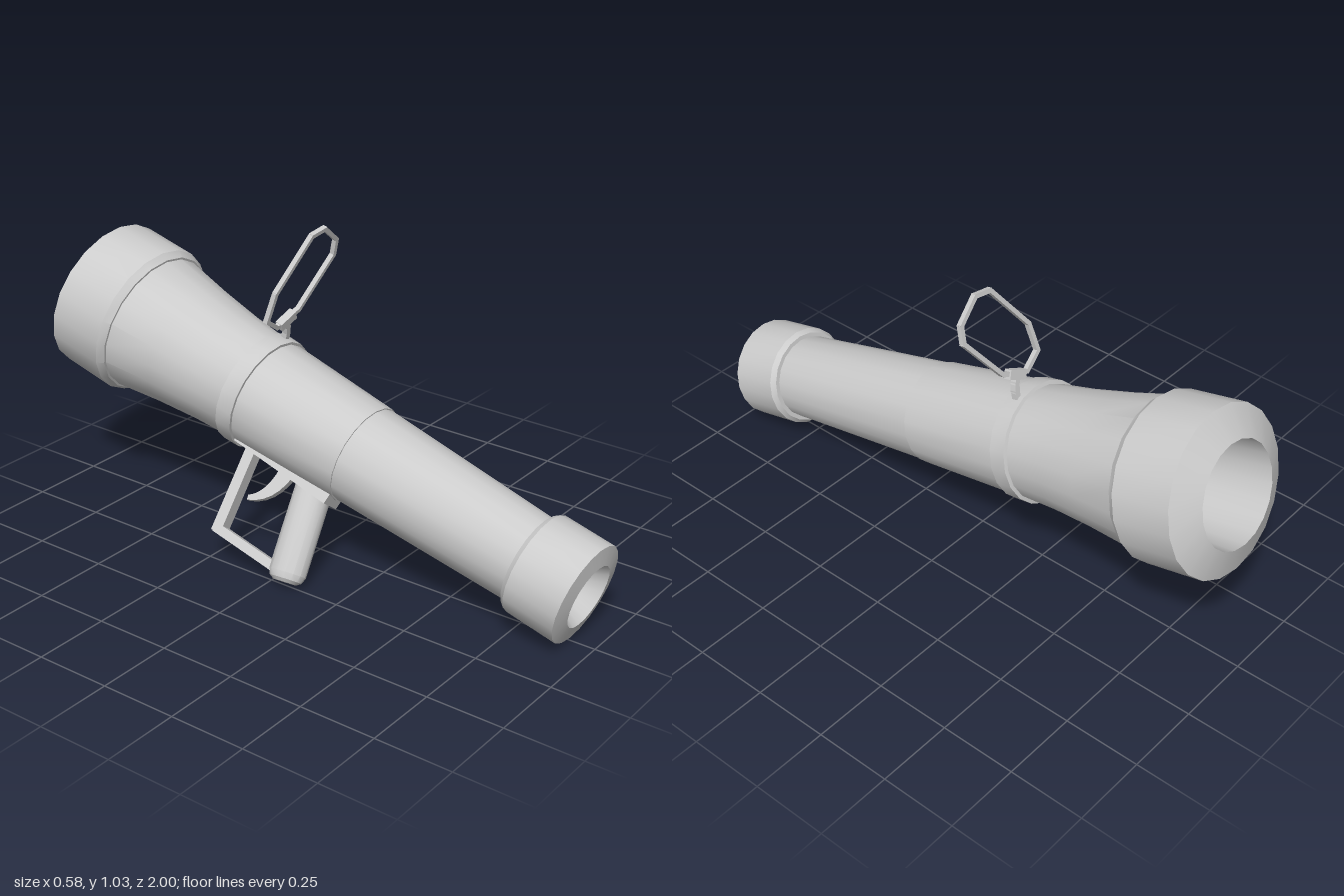
import * as THREE from 'three';
import { toCreasedNormals } from 'three/addons/utils/BufferGeometryUtils.js';

const material = new THREE.MeshStandardMaterial({ color: 0xcccccc });

function addMesh(parent, name, geometry) {
  const mesh = new THREE.Mesh(geometry, material);
  mesh.name = name;
  parent.add(mesh);
  return mesh;
}

// Lathe from [radius, height] pairs, with hard edges where the profile turns sharply
function turned(profile, sides) {
  const points = profile.map(([r, h]) => new THREE.Vector2(r, h));
  return toCreasedNormals(new THREE.LatheGeometry(points, sides), 0.45);
}

// Rectangular bar between two points; depth runs along the "up" direction
function bar(parent, name, a, b, width, depth, up) {
  const start = new THREE.Vector3(...a), end = new THREE.Vector3(...b);
  const length = start.distanceTo(end) + width * 0.6;
  const mesh = new THREE.Mesh(new THREE.BoxGeometry(width, depth, length), material);
  mesh.name = name;
  mesh.up.set(...up);
  mesh.position.copy(start).add(end).multiplyScalar(0.5);
  mesh.lookAt(end);
  parent.add(mesh);
}

export function createModel() {
  const model = new THREE.Group();
  model.name = 'launcher';

  // Everything is placed along the tilted barrel axis: distance s from the muzzle is z = -s
  const launcher = new THREE.Group();
  launcher.name = 'tiltedBody';
  launcher.position.set(0, 0.174, 0.957);
  launcher.rotation.set(0.256, -0.018, 0, 'YXZ');
  model.add(launcher);

  // Barrel: front funnel, front cap, stepped tube, band, flare, rear cap, rear bore
  const barrel = turned([
    [0, 0.15], [0.031, 0.145], [0.06, 0.075], [0.105, -0.012],
    [0.165, 0], [0.165, 0.174], [0.153, 0.19], [0.139, 0.19],
    [0.161, 0.823], [0.165, 0.823], [0.181, 1.214],
    [0.19, 1.214], [0.192, 1.272], [0.181, 1.275],
    [0.19, 1.4], [0.208, 1.55], [0.234, 1.715],
    [0.241, 1.715], [0.256, 1.738], [0.256, 1.934],
    [0.162, 1.978], [0.15, 1.7], [0.1, 1.0], [0, 1.0],
  ], 20);
  barrel.rotateX(-Math.PI / 2);
  addMesh(launcher, 'barrel', barrel);

  // Handle assembly, rolled toward the model's right side
  const handle = new THREE.Group();
  handle.name = 'handle';
  handle.rotation.z = -0.645;
  launcher.add(handle);

  // Mounting rail under the tube
  const rail = addMesh(handle, 'mountingRail', new THREE.BoxGeometry(0.1, 0.08, 0.38));
  rail.position.set(0, -0.145, -1.02);
  rail.rotation.x = 0.03;

  // Grip, raked forward, with a rounded foot
  const grip = addMesh(handle, 'grip', turned([
    [0, 0], [0.036, 0], [0.05, 0.01], [0.058, 0.03], [0.058, 0.32],
  ], 14));
  grip.position.set(0, -0.462, -0.825);
  grip.rotation.x = -0.279;
  grip.scale.set(0.88, 1, 1.06);

  // Guard: lower bar and rear post
  const side = [1, 0, 0];
  bar(handle, 'guardLowerBar', [0, -0.44, -0.84], [0, -0.44, -1.11], 0.03, 0.05, side);
  bar(handle, 'guardRearPost', [0, -0.44, -1.11], [0, -0.16, -1.16], 0.035, 0.05, side);

  // Curved trigger, drawn as distance along the barrel against drop
  const hook = new THREE.Shape();
  hook.moveTo(0.985, -0.17);
  hook.quadraticCurveTo(0.995, -0.28, 1.08, -0.315);
  hook.lineTo(1.085, -0.3);
  hook.quadraticCurveTo(1.035, -0.265, 1.04, -0.17);
  const triggerShape = new THREE.ExtrudeGeometry(hook, { depth: 0.024, bevelEnabled: false, curveSegments: 6 });
  triggerShape.translate(0, 0, -0.012);
  triggerShape.rotateY(Math.PI / 2);
  addMesh(handle, 'trigger', toCreasedNormals(triggerShape, 0.5));

  // Sight frame: an elongated eight-sided loop standing across the band
  const sight = new THREE.Group();
  sight.name = 'sight';
  sight.position.z = -1.245;
  launcher.add(sight);
  const forward = [0, 0, 1];
  const loop = [
    [0.08, 0.543], [0.14, 0.552], [0.216, 0.493], [0.221, 0.437],
    [0.097, 0.275], [0, 0.239], [-0.06, 0.28], [-0.045, 0.376],
  ];
  loop.forEach(([x, y], i) => {
    const [nx, ny] = loop[(i + 1) % loop.length];
    bar(sight, 'sightFrameBar', [x, y, 0], [nx, ny, 0], 0.014, 0.016, forward);
  });

  // Clamp and bent stem that hold the frame
  bar(sight, 'sightClamp', [0.022, 0.241, 0], [0.068, 0.262, 0], 0.03, 0.026, forward);
  const bend = [[0.04, 0.25], [0.054, 0.225], [0.06, 0.2], [0.06, 0.17]];
  for (let i = 0; i < bend.length - 1; i++) {
    bar(sight, 'sightStem', [...bend[i], 0], [...bend[i + 1], 0], 0.018, 0.02, forward);
  }

  return model;
}
